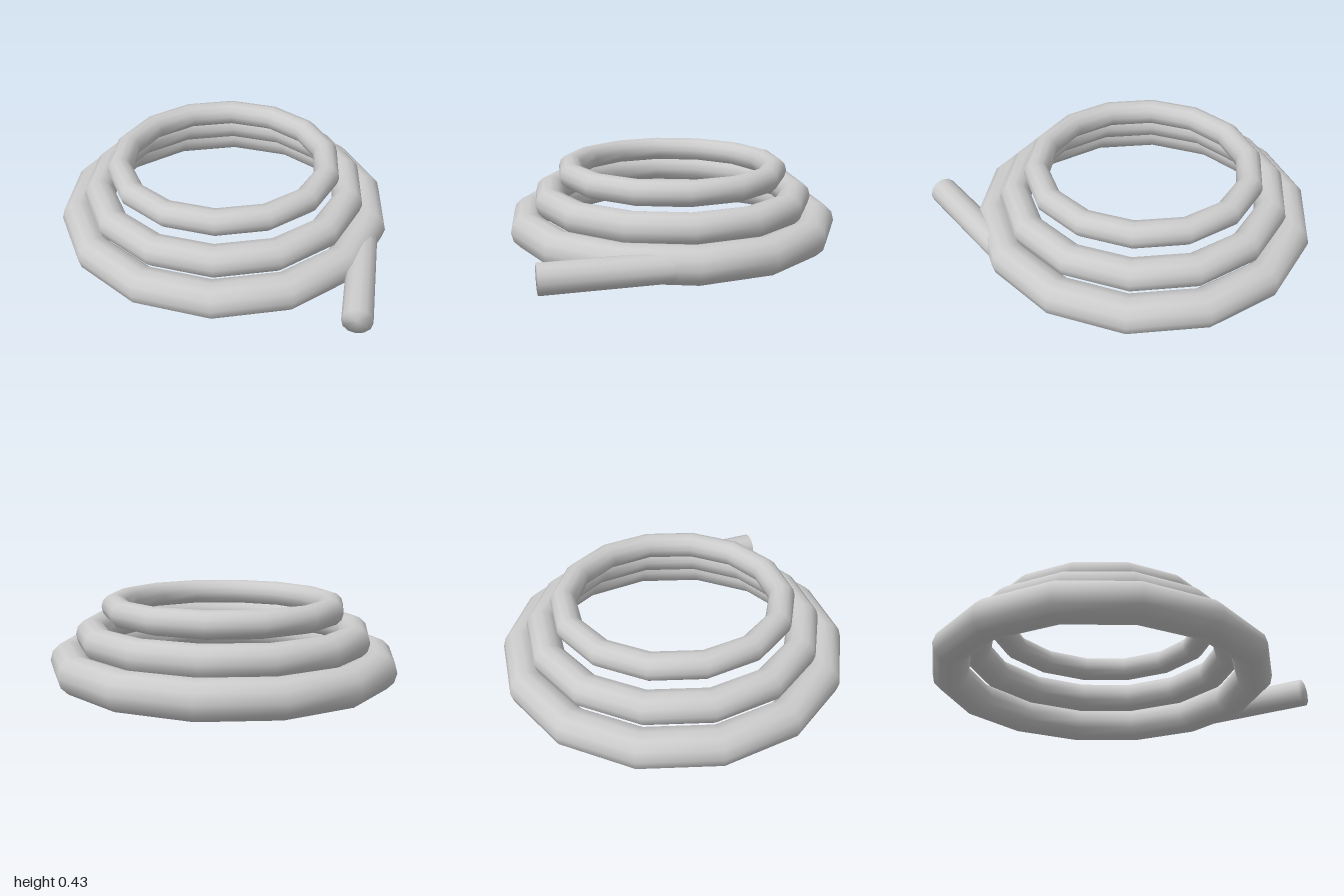
import * as THREE from 'three';
import { mergeVertices } from 'three/addons/utils/BufferGeometryUtils.js';

export function createModel() {
  const model = new THREE.Group();
  const material = new THREE.MeshStandardMaterial({ color: 0xcccccc });

  const add = (name, geometry) => {
    const mesh = new THREE.Mesh(geometry, material);
    mesh.name = name;
    model.add(mesh);
    return mesh;
  };

  // Stacked coils: one ring shape, shrinking towards the top
  const coils = [
    ['bottomCoil', 1, 0.095],
    ['middleCoil', 0.85, 0.226],
    ['topCoil', 0.7, 0.363],
  ];
  for (const [name, scale, y] of coils) {
    const ring = new THREE.TorusGeometry(0.777 * scale, 0.093 * scale, 12, 14);
    ring.rotateX(Math.PI / 2);
    add(name, ring).position.set(0, y, -0.154);
  }

  // Loose end: a straight piece leaving the bottom coil at a tangent
  const length = 0.72;
  const tube = new THREE.CylinderGeometry(0.072, 0.072, length, 12);
  tube.rotateX(Math.PI / 2);
  // Welded rim so the shading runs softly over the cut end
  tube.deleteAttribute('normal');
  tube.deleteAttribute('uv');
  const soft = mergeVertices(tube);
  soft.computeVertexNormals();
  const tail = add('looseEnd', soft);
  const half = (length / 2) * Math.SQRT1_2;
  tail.position.set(-0.03 + half, 0.089, 0.944 - half);
  tail.rotation.y = -Math.PI / 4;

  return model;
}
